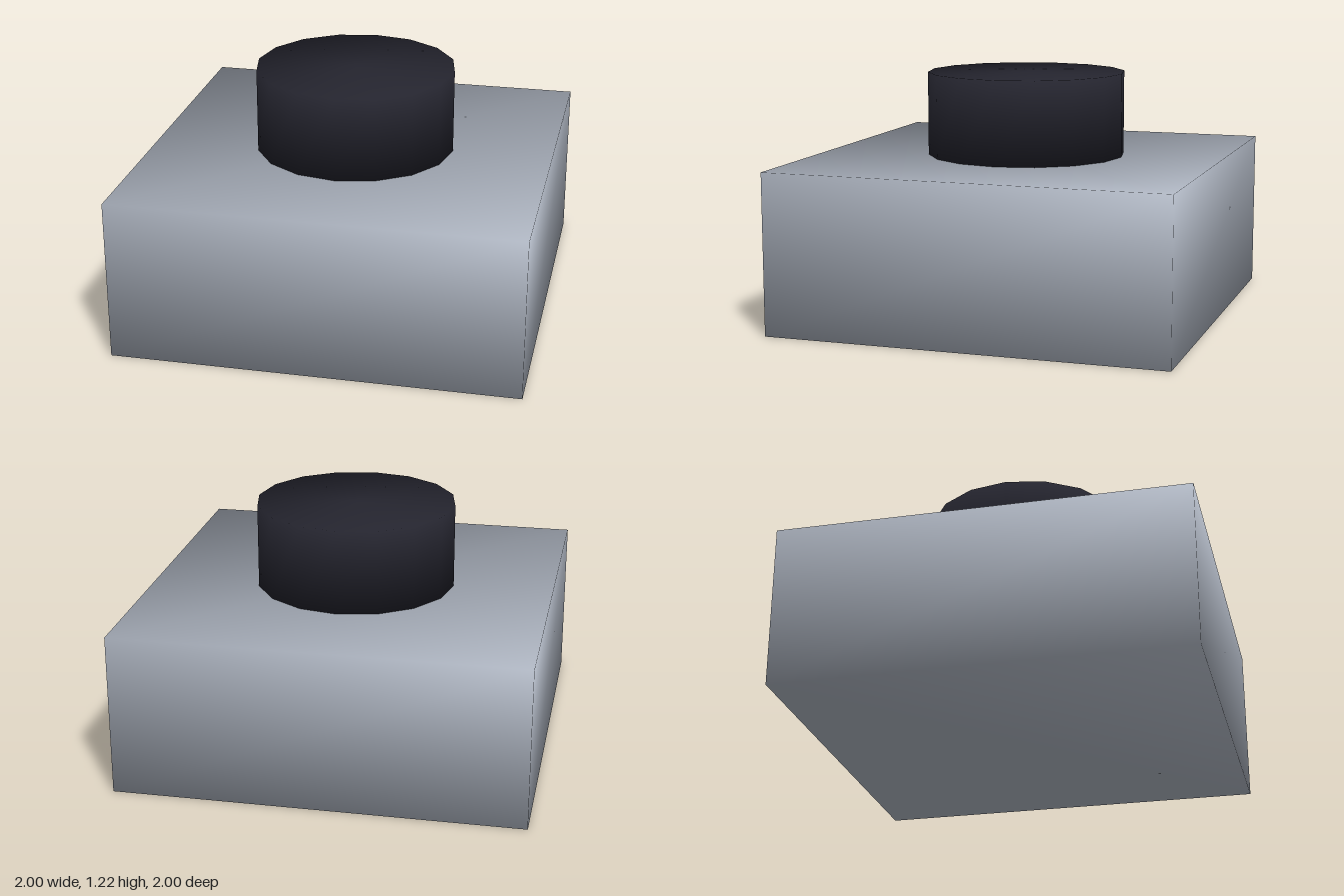
import * as THREE from 'three';

// Round the shading over every edge: corners at the same place share the mean normal
function softenNormals(geometry) {
  const pos = geometry.attributes.position;
  const nor = geometry.attributes.normal;
  const sums = new Map();
  const keys = [];
  for (let i = 0; i < pos.count; i++) {
    const key = [pos.getX(i), pos.getY(i), pos.getZ(i)].map((v) => Math.round(v * 1000)).join(' ');
    keys.push(key);
    if (!sums.has(key)) sums.set(key, []);
    const n = new THREE.Vector3().fromBufferAttribute(nor, i);
    // Count each distinct face direction once
    if (!sums.get(key).some((m) => m.distanceTo(n) < 0.01)) sums.get(key).push(n);
  }
  keys.forEach((key, i) => {
    const mean = sums.get(key).reduce((a, n) => a.add(n), new THREE.Vector3()).normalize();
    nor.setXYZ(i, mean.x, mean.y, mean.z);
  });
  return geometry;
}

export function createModel() {
  const model = new THREE.Group();
  model.name = 'pushButton';

  const paleGrey = new THREE.MeshStandardMaterial({ color: 0xaeb5c1 });
  paleGrey.name = 'paleGrey';
  const darkNavy = new THREE.MeshStandardMaterial({ color: 0x24242e });
  darkNavy.name = 'darkNavy';

  const addPart = (name, geometry, material, y) => {
    const mesh = new THREE.Mesh(softenNormals(geometry), material);
    mesh.name = name;
    mesh.position.y = y;
    model.add(mesh);
  };

  // Square base block
  addPart('base', new THREE.BoxGeometry(2, 0.8, 2), paleGrey, 0.4);

  // Sixteen-sided knob standing on the base
  addPart('knob', new THREE.CylinderGeometry(0.5, 0.5, 0.42, 16), darkNavy, 1.01);

  return model;
}
